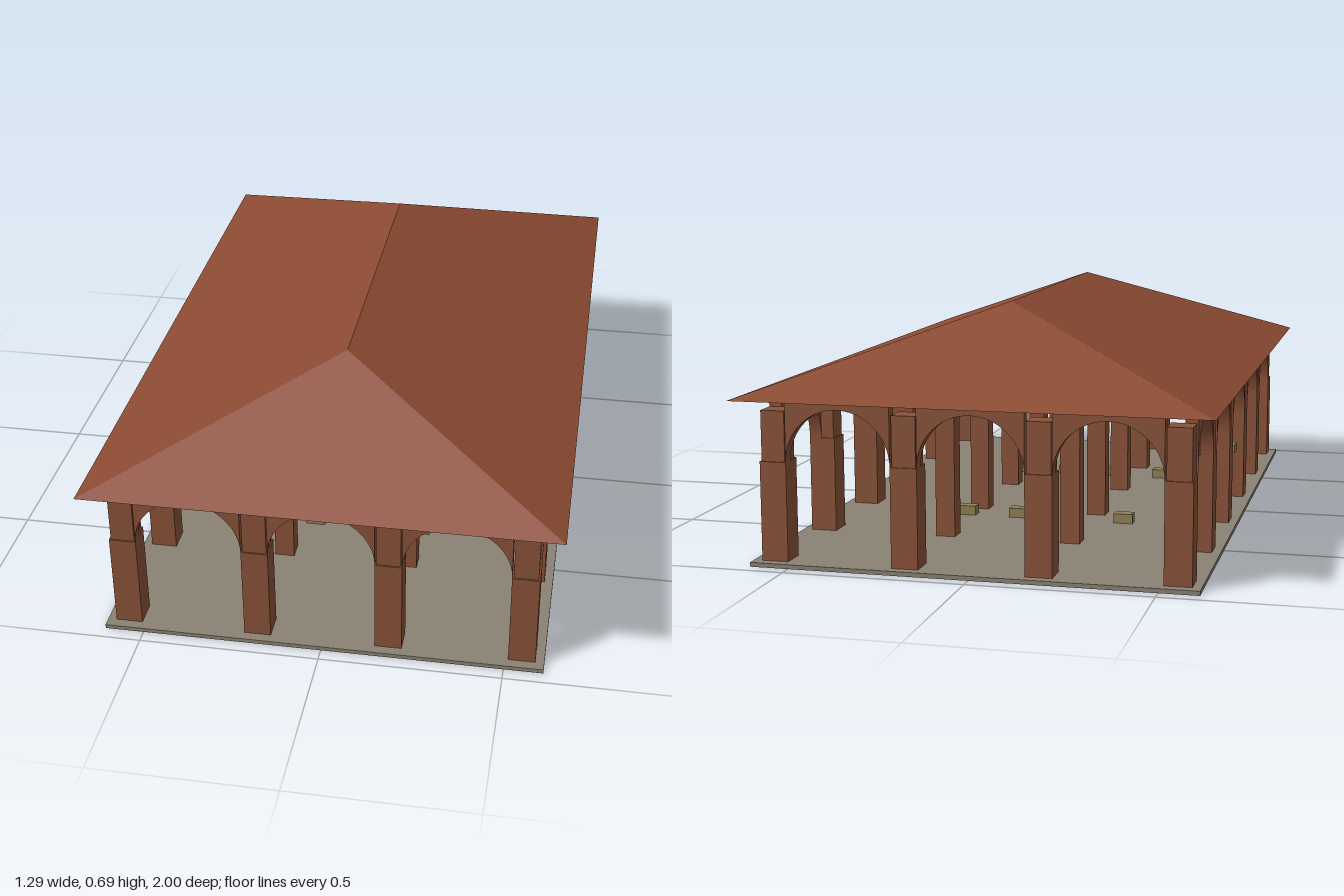
import * as THREE from 'three';

const FLOOR = 0.012, SPRING = 0.284, CAP = 0.422, EAVE = 0.455, RIDGE = 0.685;
const HALF = 0.037; // half width of a pier
const XS = [-0.547, -0.182, 0.182, 0.547];
const ZS = [-0.898, -0.539, -0.18, 0.18, 0.539, 0.898];

const paint = (color) => new THREE.MeshStandardMaterial({ color, flatShading: true });

export function createModel() {
  const model = new THREE.Group();
  model.name = 'arcadePavilion';
  const brick = paint(0x8a5238), tile = paint(0x8b4a32);
  const stone = paint(0x8a8274), wood = paint(0x8f8055);

  const add = (name, geometry, material, parent = model) => {
    const mesh = new THREE.Mesh(geometry, material);
    mesh.name = name;
    parent.add(mesh);
    return mesh;
  };
  // Box given by its centre in plan, bottom and top
  const box = (name, material, x, z, w, d, y0, y1, parent) =>
    add(name, new THREE.BoxGeometry(w, y1 - y0, d), material, parent).position.set(x, (y0 + y1) / 2, z);

  // Floor slab
  box('floor', stone, 0, 0, 1.216, 1.926, 0, FLOOR);

  // Perimeter piers with a slimmer core, and inner columns
  for (const x of XS) for (const z of ZS) {
    const outer = Math.abs(x) > 0.5 || Math.abs(z) > 0.8;
    const pier = new THREE.Group();
    pier.name = outer ? 'pier' : 'innerColumn';
    model.add(pier);
    if (outer) {
      box('pierBase', brick, x, z, HALF * 2, HALF * 2, 0, SPRING, pier);
      box('pierCore', brick, x, z, 0.066, 0.066, SPRING, CAP, pier);
    } else {
      box('columnShaft', brick, x, z, 0.056, 0.056, 0, CAP, pier);
    }
  }

  // Arched panel filling a span of the given width, its outer face at z = 0
  const archGeometry = (width) => {
    const r = width / 2;
    const shape = new THREE.Shape();
    shape.moveTo(-r, EAVE);
    shape.lineTo(-r, SPRING);
    shape.absellipse(0, SPRING, r, 0.146, Math.PI, 0, true);
    shape.lineTo(r, EAVE);
    shape.closePath();
    return new THREE.ExtrudeGeometry(shape, { depth: 0.035, bevelEnabled: false, curveSegments: 20 })
      .translate(0, 0, -0.035);
  };
  // One row of arches per wall, turned to face outwards
  const arcade = (name, centres, offset, angle) => {
    const wall = new THREE.Group();
    wall.name = name;
    wall.rotation.y = angle;
    model.add(wall);
    for (let i = 0; i < centres.length - 1; i++) {
      const a = centres[i] + HALF, b = centres[i + 1] - HALF;
      add('arch', archGeometry(b - a), brick, wall).position.set((a + b) / 2, 0, offset);
    }
  };
  arcade('frontArcade', XS, 0.935, 0);
  arcade('backArcade', XS, 0.935, Math.PI);
  arcade('leftArcade', ZS, 0.584, Math.PI / 2);
  arcade('rightArcade', ZS, 0.584, -Math.PI / 2);

  // Hipped roof with a flat underside
  const w = 0.646, A = [-w, EAVE, 1], B = [w, EAVE, 1], C = [w, EAVE, -1], D = [-w, EAVE, -1];
  const F = [0, RIDGE, 0.5], K = [0, RIDGE, -0.5];
  const faces = [A, B, F, C, D, K, B, C, K, B, K, F, D, A, F, D, F, K, A, D, C, A, C, B];
  const roof = new THREE.BufferGeometry();
  roof.setAttribute('position', new THREE.Float32BufferAttribute(faces.flat(), 3));
  roof.computeVertexNormals();
  add('roof', roof, tile);

  // Two rows of low stools
  for (const z of [0.38, -0.28])
    for (let i = 0; i < 4; i++)
      box('stool', wood, -0.282 + i * 0.16, z, 0.056, 0.036, FLOOR, 0.04);

  // Raised stand in the middle opening of the right side
  box('standTop', wood, -0.545, 0, 0.06, 0.048, 0.185, 0.21);
  box('standPost', wood, -0.545, 0, 0.026, 0.046, 0.142, 0.185);

  return model;
}
